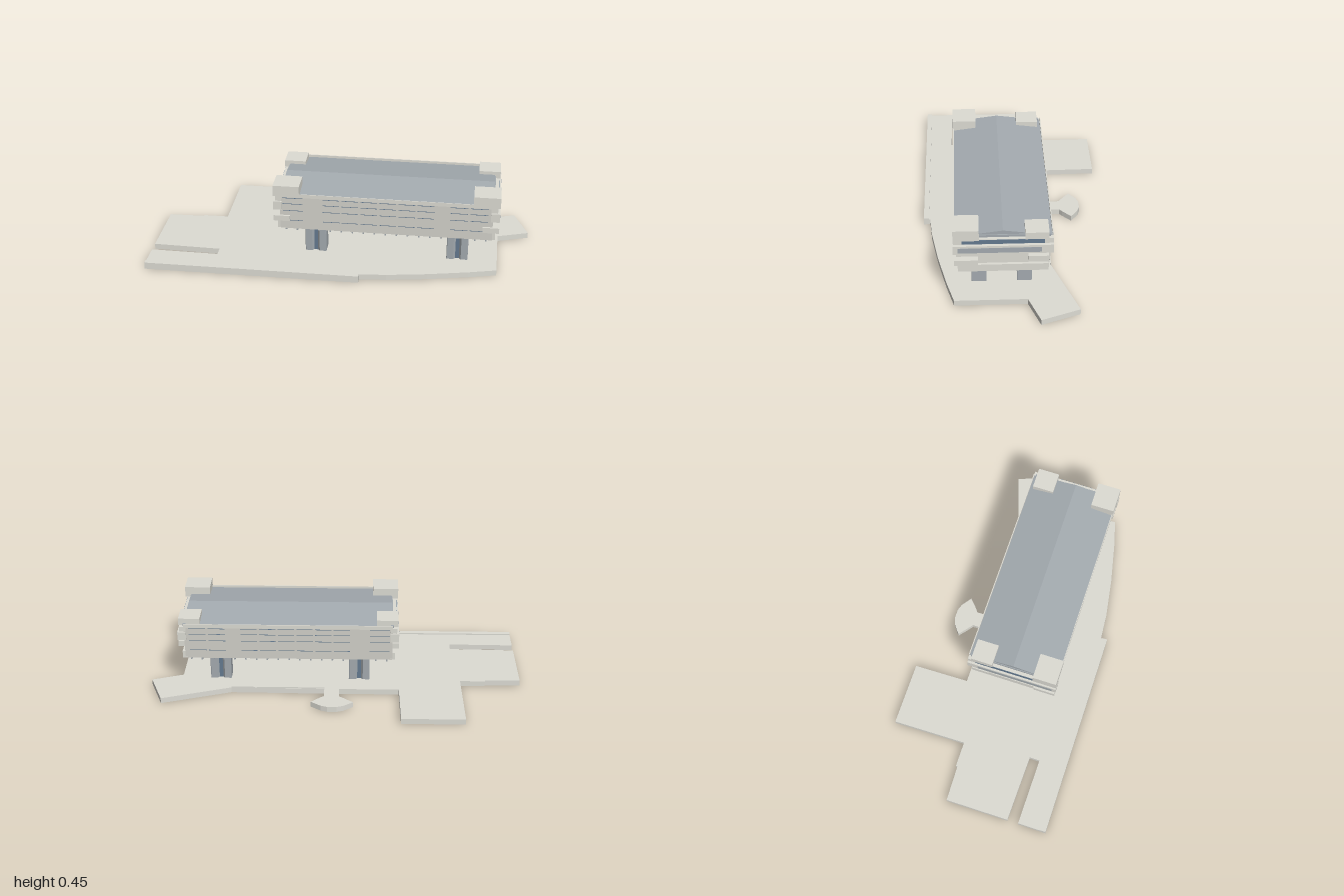
import * as THREE from 'three';

const material = (name, color) => new THREE.MeshStandardMaterial({ name, color });

export function createModel() {
  const concrete = material('concrete', 0xdddcd4);
  const slate = material('slate', 0xa4abb0);
  const glass = material('blueGlass', 0x647a90);
  const model = new THREE.Group();
  model.name = 'raisedPavilion';

  const add = (parent, name, geometry, mat) => {
    const mesh = new THREE.Mesh(geometry, mat);
    mesh.name = name;
    parent.add(mesh);
    return mesh;
  };
  // Box given by its minimum and maximum on each axis
  const box = (parent, name, mat, x0, x1, y0, y1, z0, z1) => {
    const g = new THREE.BoxGeometry(x1 - x0, y1 - y0, z1 - z0);
    g.translate((x0 + x1) / 2, (y0 + y1) / 2, (z0 + z1) / 2);
    return add(parent, name, g, mat);
  };
  const extrude = (points, depth) => new THREE.ExtrudeGeometry(
    new THREE.Shape(points.map(([a, b]) => new THREE.Vector2(a, b))), { depth, bevelEnabled: false });
  // Section of [z, y] points swept along x
  const sweepX = (parent, name, mat, section, x0, x1) => {
    const g = extrude(section.map(([z, y]) => [-z, y]), x1 - x0);
    g.rotateY(Math.PI / 2).translate(x0, 0, 0);
    return add(parent, name, g, mat);
  };
  // Plan of [x, z] points raised along y
  const raise = (parent, name, mat, plan, y0, y1) => {
    const g = extrude(plan.map(([x, z]) => [x, -z]), y1 - y0);
    g.rotateX(-Math.PI / 2).translate(0, y0, 0);
    return add(parent, name, g, mat);
  };

  // Ground terrace with slot, wing, fan-shaped lookout and angled ramp
  const base = new THREE.Group();
  base.name = 'terrace';
  model.add(base);
  raise(base, 'terraceSlab', concrete, [
    [-1, 0.48], [-1, 0.328], [-0.642, 0.332], [-0.642, 0.277], [-1, 0.268],
    [-1, -0.072], [-0.81, -0.077], [-0.81, -0.086], [-0.675, -0.086],
    [-0.68, -0.48], [-0.345, -0.48], [-0.34, -0.185], [-0.02, -0.185],
    [-0.02, -0.26], [-0.04, -0.275], [-0.095, -0.32], [-0.045, -0.358], [-0.01, -0.37],
    [0.04, -0.37], [0.075, -0.358], [0.128, -0.32], [0.08, -0.275], [0.06, -0.26],
    [0.06, -0.185], [0.56, -0.18], [0.925, -0.302], [1, -0.105], [0.835, -0.048],
    [0.835, 0.317], [0.69, 0.355], [0.48, 0.4], [0.27, 0.434], [0.13, 0.445], [0.13, 0.48],
  ], 0, 0.03);
  box(base, 'frontCurb', concrete, -1, 0.13, 0.03, 0.037, 0.453, 0.48);
  box(base, 'rearEdging', concrete, 0.06, 0.56, 0.03, 0.036, -0.181, -0.177);

  // Four columns with a splayed, glazed groove on the front and back
  for (const x of [-0.126, 0.625]) {
    for (const z of [0.19, -0.039]) {
      const column = new THREE.Group();
      column.name = 'column';
      column.position.set(x, 0, z);
      model.add(column);
      box(column, 'columnGlazing', glass, -0.012, 0.012, 0.03, 0.19, -0.026, 0.026);
      for (const s of [-1, 1]) {
        const plan = [[0.01, -0.026], [0.01, 0.026], [0.02, 0.038], [0.053, 0.038],
          [0.056, 0.035], [0.056, -0.035], [0.053, -0.038], [0.02, -0.038]].map(([a, b]) => [a * s, b]);
        raise(column, 'columnHalf', slate, plan, 0.03, 0.19);
      }
    }
  }

  const hall = new THREE.Group();
  hall.name = 'hall';
  hall.position.set(0.003, -0.001, -0.003);
  model.add(hall);

  // Coffered underside
  const soffit = new THREE.Group();
  soffit.name = 'cofferedSoffit';
  hall.add(soffit);
  box(soffit, 'soffitPanel', glass, -0.3, 0.79, 0.194, 0.2, -0.143, 0.288);
  for (let i = -9; i <= 9; i++) {
    const x = 0.246 + i * 0.058;
    box(soffit, 'crossRib', slate, x - 0.004, x + 0.004, 0.184, 0.195, -0.144, 0.293);
  }
  for (let i = -3; i <= 3; i++) {
    const z = 0.08 + i * 0.058;
    box(soffit, 'longRib', slate, -0.295, 0.787, 0.185, 0.195, z - 0.004, z + 0.004);
  }

  // Main volume, leaning slightly outward
  const wallZ = (y) => 0.296 + (y - 0.196) * 0.09;
  sweepX(hall, 'hallWalls', concrete, [
    [0.296, 0.194], [wallZ(0.391), 0.391], [-0.167, 0.391], [-0.145, 0.194],
  ], -0.305, 0.798);
  box(hall, 'rearParapet', concrete, -0.305, 0.798, 0.385, 0.406, -0.168, -0.163);
  box(hall, 'frontParapet', concrete, -0.305, 0.798, 0.385, 0.405, 0.311, 0.315);

  // Slit windows along both long walls
  const slits = new THREE.Group();
  slits.name = 'slitWindows';
  hall.add(slits);
  for (const y of [0.245, 0.304, 0.345, 0.38]) {
    for (const [x0, x1] of [[-0.29, -0.17], [-0.08, 0.51], [0.58, 0.785]]) {
      const n = Math.round((x1 - x0) / 0.1);
      const step = (x1 - x0) / n;
      for (let i = 0; i < n; i++) {
        const a = x0 + i * step, b = a + step * 0.88;
        const f = wallZ(y), r = -0.145 - (y - 0.194) * 0.11;
        box(slits, 'frontSlit', glass, a, b, y - 0.0015, y + 0.0015, f - 0.002, f + 0.0008);
        box(slits, 'rearSlit', glass, a, b, y - 0.0015, y + 0.0015, r - 0.0008, r + 0.002);
      }
    }
  }

  // Low gabled roof with two even slopes
  sweepX(hall, 'roof', slate, [
    [0.313, 0.385], [0.313, 0.393], [0.076, 0.424], [-0.164, 0.393], [-0.164, 0.385],
  ], -0.304, 0.797);

  // Projecting bands and windows on both end walls
  for (const s of [-1, 1]) {
    const end = new THREE.Group();
    end.name = s > 0 ? 'leftEnd' : 'rightEnd';
    hall.add(end);
    // Distance out from the middle of the hall at x = 0.247
    const part = (name, mat, d0, d1, y0, y1, z0, z1) => {
      const a = 0.247 + s * d0, b = 0.247 + s * d1;
      box(end, name, mat, Math.min(a, b), Math.max(a, b), y0, y1, z0, z1);
    };
    part('lowerBand', concrete, 0.54, 0.566, 0.196, 0.235, -0.146, 0.295);
    part('frontLowBlock', concrete, 0.5, 0.585, 0.245, 0.275, 0.198, 0.314);
    part('rearLowBlock', concrete, 0.5, 0.585, 0.264, 0.294, -0.146, -0.047);
    part('middleBand', concrete, 0.54, 0.585, 0.312, 0.359, -0.168, 0.319);
    part('middleWindow', slate, 0.583, 0.5865, 0.32, 0.348, -0.11, 0.296);
    part('recessStrip', slate, 0.54, 0.556, 0.355, 0.403, -0.155, 0.305);
    part('upperBand', concrete, 0.54, 0.574, 0.363, 0.391, -0.167, 0.317);
    part('upperWindow', glass, 0.572, 0.576, 0.365, 0.388, -0.124, 0.276);
    // Rooftop corner blocks
    part('frontCornerBlock', concrete, 0.449, 0.586, 0.391, 0.449, 0.192, 0.318);
    part('rearCornerBlock', concrete, 0.467, 0.58, 0.391, 0.428, -0.146, -0.031);
  }
  return model;
}
